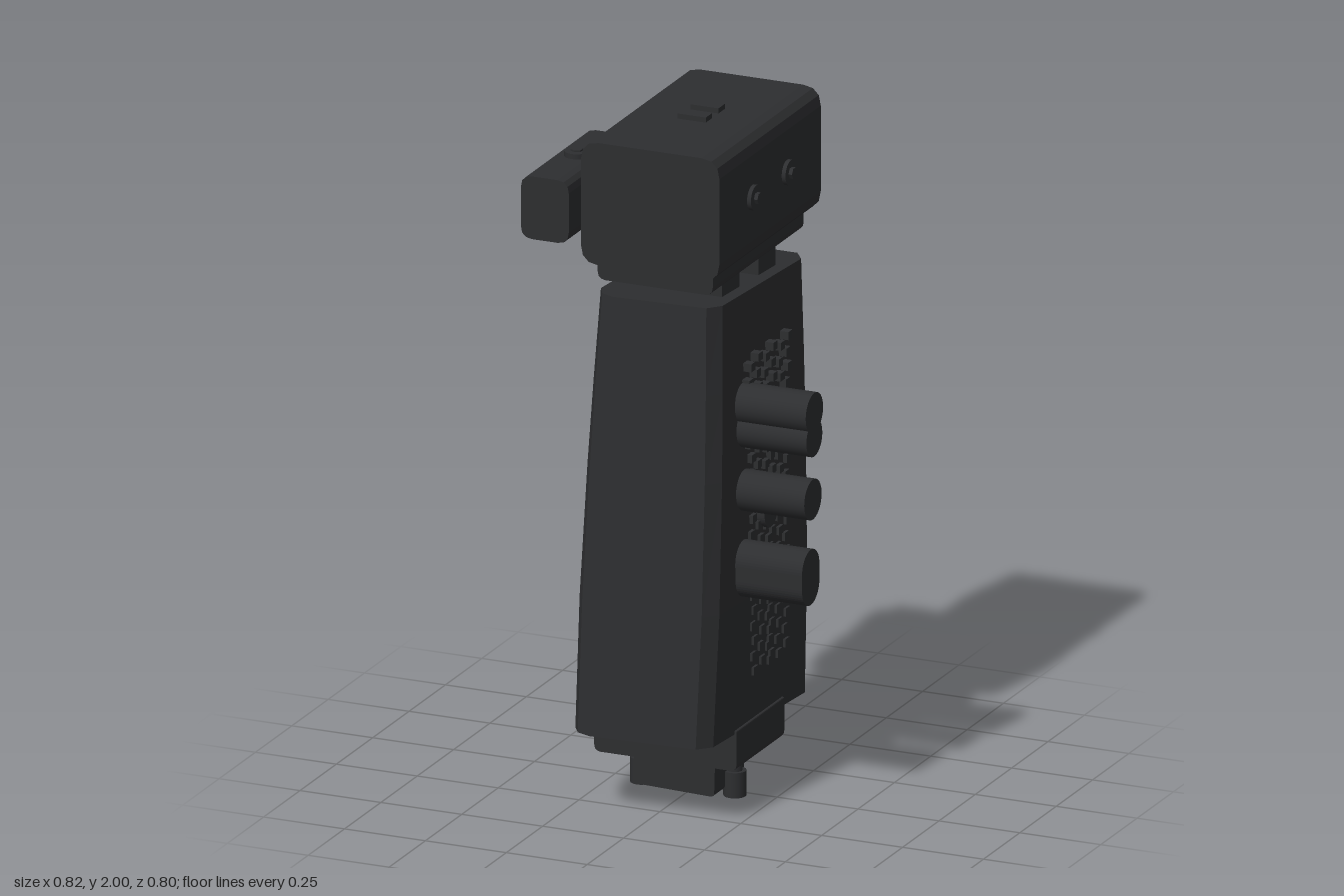
import * as THREE from 'three';
import { mergeGeometries } from 'three/addons/utils/BufferGeometryUtils.js';

const mat = new THREE.MeshStandardMaterial({ color: 0x2d2e30, flatShading: true });
const smooth = new THREE.MeshStandardMaterial({ color: 0x2d2e30 });

export function createModel() {
  const root = new THREE.Group();
  const add = (name, geo, m = mat) => {
    const mesh = new THREE.Mesh(geo, m);
    mesh.name = name;
    root.add(mesh);
    return mesh;
  };
  // Box given by its limits
  const box = (x0, x1, y0, y1, z0, z1) =>
    new THREE.BoxGeometry(x1 - x0, y1 - y0, z1 - z0)
      .translate((x0 + x1) / 2, (y0 + y1) / 2, (z0 + z1) / 2);
  // Bar along z whose section has corners cut at the bottom (cb) and top (ct)
  const bar = (x0, x1, y0, y1, z0, z1, cb, ct = cb) => {
    const s = new THREE.Shape();
    const corner = (x, y, px, py, qx, qy, first) => {
      if (first) s.moveTo(px, py); else s.lineTo(px, py);
      s.quadraticCurveTo(x, y, qx, qy);
    };
    corner(x0, y0, x0, y0 + cb, x0 + cb, y0, true);
    corner(x1, y0, x1 - cb, y0, x1, y0 + cb);
    corner(x1, y1, x1, y1 - ct, x1 - ct, y1);
    corner(x0, y1, x0 + ct, y1, x0, y1 - ct);
    s.closePath();
    return new THREE.ExtrudeGeometry(s, { depth: z1 - z0, bevelEnabled: false, curveSegments: 3 })
      .translate(0, 0, z0);
  };
  // Cylinder along x
  const rod = (x0, x1, y, z, r, n = 24) =>
    new THREE.CylinderGeometry(r, r, x1 - x0, n).rotateZ(Math.PI / 2).translate((x0 + x1) / 2, y, z);
  // Pill-shaped peg along x, ends centred on y0 and y1
  const pill = (x0, x1, y0, y1, z, r) => {
    const s = new THREE.Shape();
    s.absarc(-z, y1, r, 0, Math.PI, false);
    s.absarc(-z, y0, r, Math.PI, Math.PI * 2, false);
    s.closePath();
    return new THREE.ExtrudeGeometry(s, { depth: x1 - x0, bevelEnabled: false, curveSegments: 12 })
      .rotateY(Math.PI / 2).translate(x0, 0, 0);
  };

  // Grip: lofted sections with cut corners, sloped top and bottom
  const levels = [[0, 0.213], [0.3, 0.216], [0.6, 0.208], [0.8, 0.199], [1, 0.188]];
  const rings = levels.map(([t, w]) => {
    const f = THREE.MathUtils.lerp(0.4, 0.28, t), b = THREE.MathUtils.lerp(-0.345, -0.375, t);
    const y = THREE.MathUtils.lerp(0.229, 1.511, t);
    return [[-0.66, f], [0.84, f - 0.02], [1, f - 0.065], [1, b + 0.05], [0.82, b],
      [-0.82, b], [-1, b + 0.05], [-1, f - 0.065], [-0.87, f - 0.02]]
      .map(([k, z]) => [k * w - 0.01, y + 0.055 * z, z]);
  });
  const pos = [], n = rings[0].length, top = rings[rings.length - 1];
  for (let l = 0; l < rings.length - 1; l++) {
    for (let i = 0; i < n; i++) {
      const j = (i + 1) % n;
      const a = rings[l][i], b = rings[l][j], c = rings[l + 1][j], d = rings[l + 1][i];
      pos.push(...a, ...b, ...c, ...a, ...c, ...d);
    }
  }
  for (let i = 1; i < n - 1; i++) {
    pos.push(...top[0], ...top[i], ...top[i + 1]);
    pos.push(...rings[0][0], ...rings[0][i + 1], ...rings[0][i]);
  }
  const grip = new THREE.BufferGeometry();
  grip.setAttribute('position', new THREE.Float32BufferAttribute(pos, 3));
  grip.computeVertexNormals();
  add('grip', grip);

  // Raised texture on both sides of the grip, in staggered rows
  for (const side of [1, -1]) {
    const dots = [];
    for (let r = 0; r < 21; r++) {
      const y = 0.4 + r * 0.0455, lean = 0.02 * (1 - r / 20);
      for (let c = 0; c < 6; c++) {
        const z = 0.085 - c * 0.051 - lean * (c < 3 ? 1 : -1) + (r % 2 ? 0.006 : -0.006);
        const yy = y + (c % 2 ? 0.008 : -0.008);
        dots.push(side > 0
          ? box(0.17, 0.212, yy - 0.012, yy + 0.012, z - 0.014, z + 0.014)
          : box(-0.246, -0.19, yy - 0.012, yy + 0.012, z - 0.014, z + 0.014));
      }
    }
    add(side > 0 ? 'leftGripTexture' : 'rightGripTexture', mergeGeometries(dots));
  }

  // Pegs and flush buttons
  add('upperPegTop', rod(0.15, 0.41, 1.2, 0.1, 0.06), smooth);
  add('upperPegBottom', rod(0.15, 0.41, 1.125, 0.1, 0.055), smooth);
  add('middlePeg', rod(0.15, 0.41, 0.945, 0.11, 0.06), smooth);
  add('lowerPeg', pill(0.15, 0.41, 0.695, 0.74, 0.125, 0.06));
  add('leftButton', pill(0.15, 0.227, 0.845, 0.89, -0.01, 0.045));
  add('rightButton', pill(-0.245, -0.19, 0.845, 0.89, -0.01, 0.045));

  // Neck and head
  add('frontNeckPost', box(-0.165, 0.14, 1.45, 1.58, 0.015, 0.135));
  add('rearNeckPost', box(-0.165, 0.14, 1.45, 1.58, -0.235, -0.115));
  add('headBase', bar(-0.188, 0.168, 1.565, 1.64, -0.365, 0.26, 0.025, 0.005));
  add('head', bar(-0.223, 0.205, 1.62, 1.985, -0.4, 0.297, 0.055));
  for (const z of [-0.097, -0.01]) add('topTab', box(-0.052, 0.035, 1.97, 2, z - 0.022, z + 0.022));

  // Screws on both sides of the head
  for (const z of [0.07, -0.168]) {
    add('leftScrew', rod(0.19, 0.217, 1.805, z, 0.037), smooth);
    add('leftScrewCap', rod(0.21, 0.228, 1.805, z, 0.017, 6));
    add('rightScrew', rod(-0.243, -0.21, 1.805, z, 0.037), smooth);
  }

  // Side module with clamp, ribs, knob and top screw
  add('sideModule', bar(-0.39, -0.242, 1.685, 1.872, -0.1, 0.338, 0.035));
  add('sideClamp', box(-0.255, -0.21, 1.765, 1.845, -0.11, 0.15));
  for (const z of [0.005, 0.12, 0.238]) add('sideRib', box(-0.403, -0.38, 1.72, 1.84, z - 0.028, z + 0.028));
  add('sideKnob', rod(-0.412, -0.385, 1.775, -0.068, 0.046), smooth);
  add('moduleScrew', new THREE.CylinderGeometry(0.036, 0.036, 0.03, 24).translate(-0.315, 1.872, 0.12), smooth);
  add('moduleScrewHex', new THREE.CylinderGeometry(0.018, 0.018, 0.03, 6).translate(-0.315, 1.877, 0.12));

  // Base plate, foot block and foot posts
  add('basePlate', bar(-0.23, 0.21, 0.13, 0.25, -0.138, 0.19, 0.02, 0.005));
  add('baseStep', box(-0.165, 0.145, 0.105, 0.14, -0.06, 0.115));
  const foot = add('footBlock', bar(-0.125, 0.125, -0.05, 0.05, -0.075, 0.13, 0.012));
  foot.position.set(-0.01, 0.075, 0);
  foot.rotation.z = -0.03;
  for (const x of [-0.155, 0.133]) {
    add('footPost', new THREE.CylinderGeometry(0.033, 0.033, 0.075, 16).translate(x, 0.0375, 0.03), smooth);
    add('footPostNeck', new THREE.CylinderGeometry(0.022, 0.022, 0.07, 12).translate(x, 0.1, 0.03), smooth);
  }
  return root;
}
